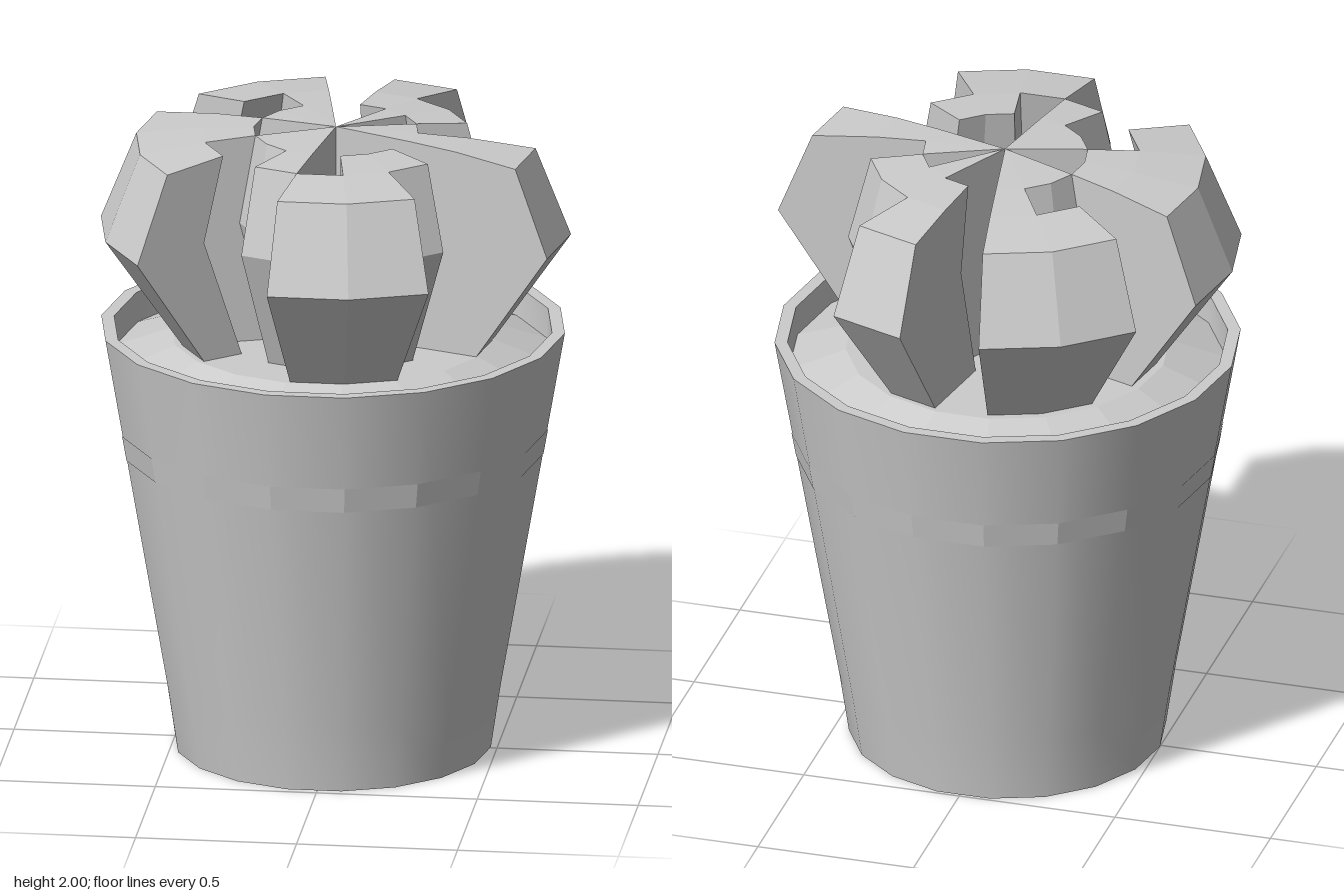
import * as THREE from 'three';
import { toCreasedNormals } from 'three/addons/utils/BufferGeometryUtils.js';

const SIDES = 18;
const STEP = (Math.PI * 2) / SIDES;

// One entry per 20 degree sector, counter-clockwise from +x seen from above.
// Digits: inner, middle and outer ring, 1 = solid block, 0 = gap down to the soil.
const CELLS = ['100', '010', '110', '011', '000', '111', '101', '100', '011',
  '011', '101', '100', '110', '001', '011', '010', '000', '111'];

// Nested shells that bound the rings, as [radius, height] from the top down
const SHELLS = [
  [[0, 2], [0, 1.71], [0, 1.32]],
  [[0.255, 1.99], [0.305, 1.71], [0.203, 1.32]],
  [[0.415, 1.98], [0.485, 1.71], [0.345, 1.32]],
  [[0.62, 1.955], [0.73, 1.68], [0.482, 1.32]],
];

const isSolid = (sector, ring) => CELLS[(sector + SIDES) % SIDES][ring] === '1';

function blocksGeometry() {
  const pos = [];
  const put = ([r, y], a) => [r * Math.cos(a), y, -r * Math.sin(a)];
  const quad = (a, b, c, d) => pos.push(...a, ...b, ...c, ...a, ...c, ...d);

  for (let k = 0; k < SIDES; k++) {
    for (let ring = 0; ring < 3; ring++) {
      if (!isSolid(k, ring)) continue;
      const a0 = k * STEP, a1 = a0 + STEP;
      const inner = SHELLS[ring], outer = SHELLS[ring + 1];
      // top face
      quad(put(inner[0], a0), put(outer[0], a0), put(outer[0], a1), put(inner[0], a1));
      for (let i = 0; i < 2; i++) {
        const j = i + 1;
        // walls towards and away from the centre
        if (ring > 0 && !isSolid(k, ring - 1))
          quad(put(inner[j], a0), put(inner[i], a0), put(inner[i], a1), put(inner[j], a1));
        if (ring === 2 || !isSolid(k, ring + 1))
          quad(put(outer[i], a0), put(outer[j], a0), put(outer[j], a1), put(outer[i], a1));
        // radial side walls
        if (!isSolid(k - 1, ring))
          quad(put(inner[i], a0), put(inner[j], a0), put(outer[j], a0), put(outer[i], a0));
        if (!isSolid(k + 1, ring))
          quad(put(inner[i], a1), put(outer[i], a1), put(outer[j], a1), put(inner[j], a1));
      }
    }
  }
  const geo = new THREE.BufferGeometry();
  geo.setAttribute('position', new THREE.Float32BufferAttribute(pos, 3));
  geo.computeVertexNormals();
  return geo;
}

// Turned part with its corners on the same 18 directions as the plant
const lathe = (points) => new THREE.LatheGeometry(
  points.map(([r, y]) => new THREE.Vector2(r, y)), SIDES, Math.PI / 2);

export function createModel() {
  const group = new THREE.Group();
  const smooth = new THREE.MeshStandardMaterial({ color: 0xcccccc });
  const flat = new THREE.MeshStandardMaterial({ color: 0xcccccc, flatShading: true });
  const add = (parent, name, geo, mat) => {
    const mesh = new THREE.Mesh(geo, mat);
    mesh.name = name;
    parent.add(mesh);
  };

  // Tapered pot with rim, a faint faceted band and mounded soil
  const potGroup = new THREE.Group();
  potGroup.name = 'potGroup';
  potGroup.position.set(-0.01, 0, -0.007);
  group.add(potGroup);
  const pot = lathe([[0, 0], [0.49, 0], [0.52, 0.2], [0.72, 1.355], [0.68, 1.355], [0.675, 1.25]]);
  add(potGroup, 'pot', toCreasedNormals(pot, 0.5), smooth);
  add(potGroup, 'band', lathe([[0.6535, 0.96], [0.6675, 1.04]]), flat);
  add(potGroup, 'soil', lathe([[0.676, 1.26], [0.5, 1.325], [0, 1.325]]), flat);

  // Round plant split into blocks by a maze of deep gaps
  add(group, 'plantBlocks', blocksGeometry(), flat);

  return group;
}
